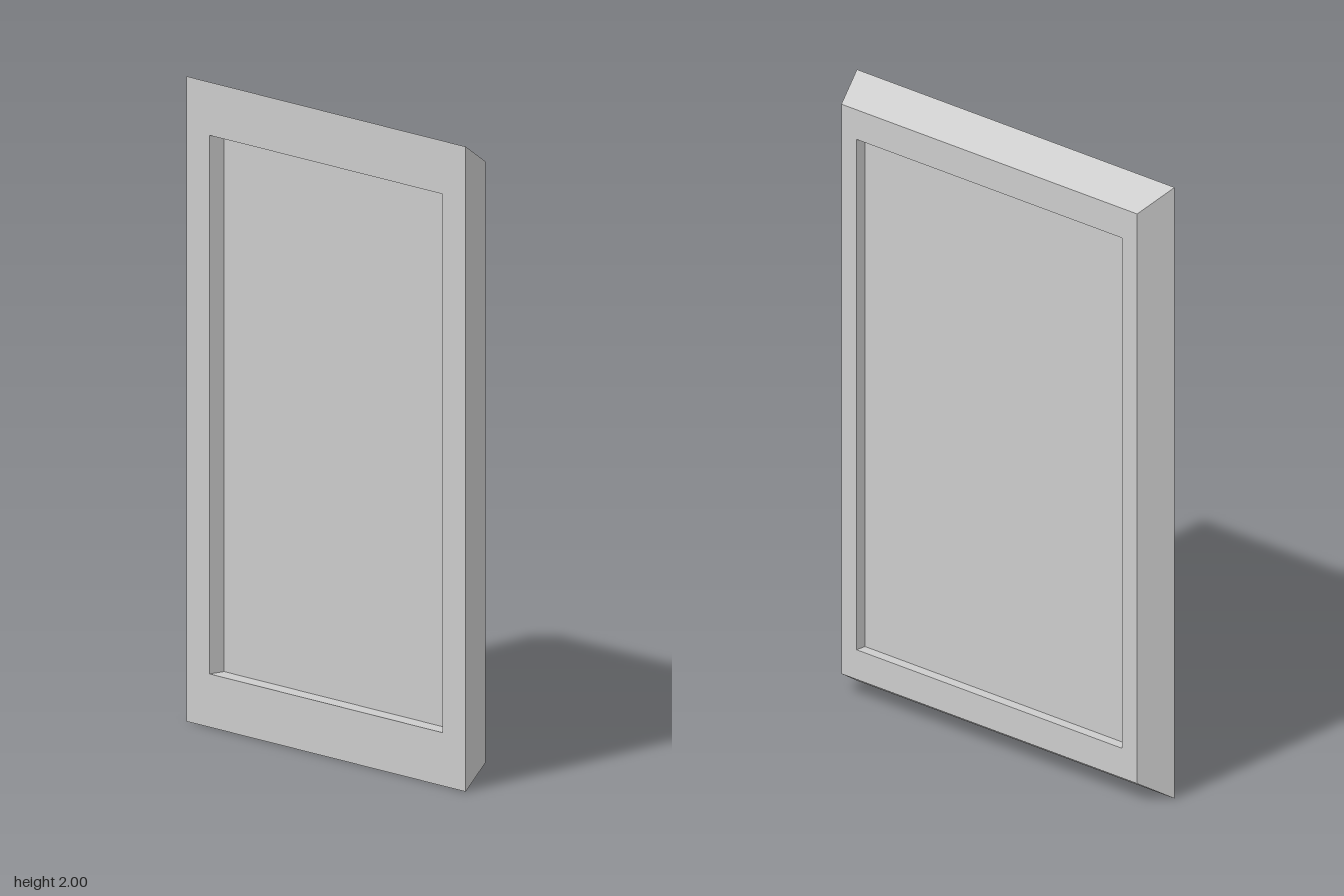
import * as THREE from 'three';

const material = new THREE.MeshStandardMaterial({ color: 0xcccccc, flatShading: true });

// Corners of an upright rectangle at depth x, centred on y = 1
function ring(x, halfZ, halfY) {
  return [[1, -1], [-1, -1], [-1, 1], [1, 1]].map(([z, y]) => [x, 1 + y * halfY, z * halfZ]);
}

// Joins each ring to the next, and the last back to the first
function loopGeometry(rings) {
  const positions = [];
  rings.forEach((from, r) => {
    const to = rings[(r + 1) % rings.length];
    for (let i = 0; i < 4; i++) {
      const j = (i + 1) % 4;
      positions.push(...from[i], ...from[j], ...to[j], ...from[i], ...to[j], ...to[i]);
    }
  });
  const geometry = new THREE.BufferGeometry();
  geometry.setAttribute('position', new THREE.Float32BufferAttribute(positions, 3));
  geometry.computeVertexNormals();
  return geometry;
}

export function createModel() {
  const group = new THREE.Group();
  group.name = 'framedPanel';
  const back = -0.057, front = 0.057;
  const openZ = 0.57, openY = 0.835;

  // Mitred frame with bevelled outer sides and a straight opening
  const frame = new THREE.Mesh(loopGeometry([
    ring(back, 0.682, 1),
    ring(front, 0.635, 0.932),
    ring(front, openZ, openY),
    ring(back, openZ, openY),
  ]), material);
  frame.name = 'frame';
  group.add(frame);

  // Thin panel set into the opening, recessed on both faces
  const panel = new THREE.Mesh(new THREE.BoxGeometry(0.02, openY * 2, openZ * 2), material);
  panel.name = 'panel';
  panel.position.set(0.01, 1, 0);
  group.add(panel);

  return group;
}
